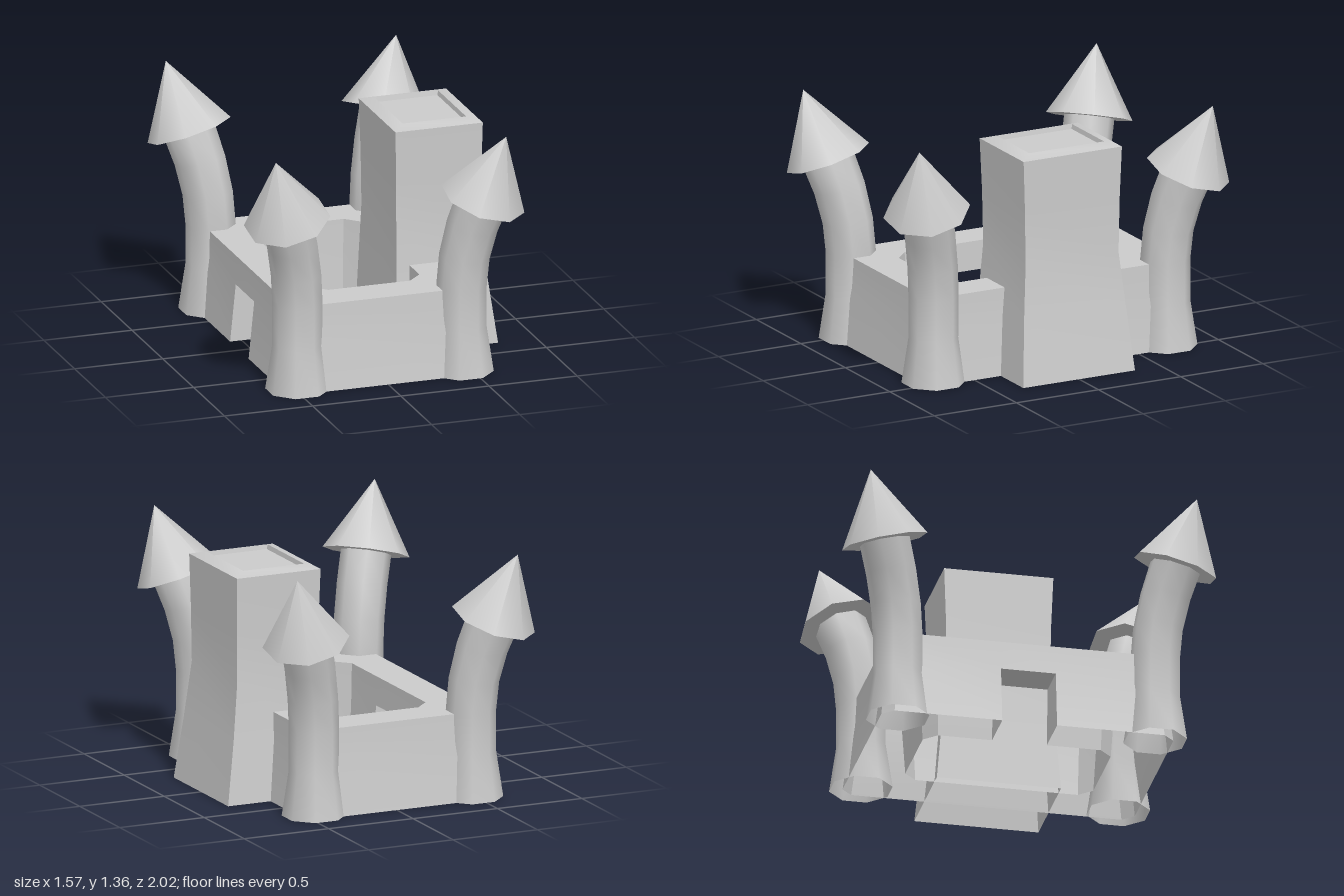
import * as THREE from 'three';
import { toCreasedNormals } from 'three/addons/utils/BufferGeometryUtils.js';

const CX = -0.018; // centre line of the walls and towers
const material = new THREE.MeshStandardMaterial({ color: 0xcccccc, side: THREE.DoubleSide });

// Skin between closed rings of [x, y, z] points; skip(row, column) leaves a hole
function loft(rings, crease, skip = () => false) {
  const n = rings[0].length;
  const index = [];
  for (let i = 0; i < rings.length - 1; i++) {
    for (let j = 0; j < n; j++) {
      if (skip(i, j)) continue;
      const k = (j + 1) % n;
      const a = i * n + j, b = i * n + k, c = b + n, d = a + n;
      index.push(a, d, c, a, c, b);
    }
  }
  const geometry = new THREE.BufferGeometry();
  geometry.setAttribute('position', new THREE.Float32BufferAttribute(rings.flat(2), 3));
  geometry.setIndex(index);
  return toCreasedNormals(geometry, crease);
}

function part(name, geometry) {
  const mesh = new THREE.Mesh(geometry, material);
  mesh.name = name;
  return mesh;
}

// Rectangle with cut corners and two extra points at the gate on the -x side
function wallRing(y, hx, hz, c) {
  const g = 0.15;
  return [
    [hx, hz - c], [hx - c, hz], [c - hx, hz], [-hx, hz - c], [-hx, g],
    [-hx, -g], [-hx, c - hz], [c - hx, -hz], [hx - c, -hz], [hx, c - hz],
  ].map(([x, z]) => [CX + x, y, z]);
}

function createWalls() {
  const group = new THREE.Group();
  group.name = 'walls';
  const rings = [
    wallRing(0, 0.548, 0.8, 0.06),
    wallRing(0.32, 0.516, 0.762, 0.06),
    wallRing(0.48, 0.512, 0.755, 0.06),
    wallRing(0.48, 0.312, 0.54, 0.08),
    wallRing(0.32, 0.308, 0.536, 0.08),
    wallRing(0, 0.29, 0.515, 0.07),
  ];
  group.add(part('curtainWall', loft(rings, 0.6, (i, j) => j === 4 && (i === 0 || i === 4))));

  // Jambs and underside of the gate opening
  const arch = (low, high) => [rings[low][4], rings[high][4], rings[high][5], rings[low][5]];
  group.add(part('gateReveal', loft([arch(0, 1), arch(5, 4)], 0.6, (i, j) => j === 3)));
  return group;
}

function createTower() {
  const group = new THREE.Group();
  group.name = 'cornerTower';

  // Eight-sided column, flared at the foot and bending out along the diagonal
  // [height, outward shift on x and z, half width, lean of the ring]
  const sections = [
    [0, 0, 0.16, 0], [0.25, 0, 0.125, 0], [0.48, 0, 0.125, 0],
    [0.65, 0.012, 0.125, 0.08], [0.83, 0.045, 0.125, 0.18], [1.0, 0.093, 0.125, 0.26],
  ];
  const rings = sections.map(([y, shift, half, lean]) =>
    Array.from({ length: 8 }, (_, k) => {
      const t = (k + 0.5) * Math.PI / 4;
      const r = half / Math.cos(Math.PI / 8);
      const x = Math.cos(t) * r, z = Math.sin(t) * r;
      return [x + shift, y - (x + z) * lean, z + shift];
    }));
  group.add(part('column', loft(rings, 0.9)));

  // Pointed roof tilted along the bend
  const base = new THREE.Vector3(0.09, 0.99, 0.09);
  const axis = new THREE.Vector3(0.188, 1.36, 0.188).sub(base);
  const height = axis.length();
  const cone = new THREE.ConeGeometry(0.235, height, 8);
  cone.rotateY(Math.PI / 8);
  cone.translate(0, height / 2, 0);
  const roof = part('roof', cone);
  roof.position.copy(base);
  roof.quaternion.setFromUnitVectors(new THREE.Vector3(0, 1, 0), axis.normalize());
  group.add(roof);
  return group;
}

function createKeep() {
  const group = new THREE.Group();
  group.name = 'keep';
  // [height, x from, x to, half depth]
  const sections = [
    [0, 0.21, 0.782, 0.34], [0.35, 0.218, 0.735, 0.31], [0.65, 0.225, 0.702, 0.283],
    [0.95, 0.222, 0.705, 0.288], [1.24, 0.215, 0.71, 0.299],
    [1.26, 0.28, 0.64, 0.228], [1.235, 0.285, 0.635, 0.223],
  ];
  const rings = sections.map(([y, x0, x1, d]) => [[x1, y, -d], [x1, y, d], [x0, y, d], [x0, y, -d]]);
  group.add(part('keepBody', loft(rings, 0.5)));

  const floor = new THREE.PlaneGeometry(0.35, 0.446);
  floor.rotateX(-Math.PI / 2);
  floor.translate(0.46, 1.235, 0);
  group.add(part('keepRoofFloor', floor));
  return group;
}

export function createModel() {
  const model = new THREE.Group();
  model.name = 'castle';
  model.add(createWalls(), createKeep());

  // One tower at each corner, turned so that it leans outwards
  [[1, 1], [1, -1], [-1, -1], [-1, 1]].forEach(([sx, sz], k) => {
    const tower = createTower();
    tower.position.set(CX + sx * 0.465, 0, sz * 0.705);
    tower.rotation.y = k * Math.PI / 2;
    model.add(tower);
  });
  return model;
}
